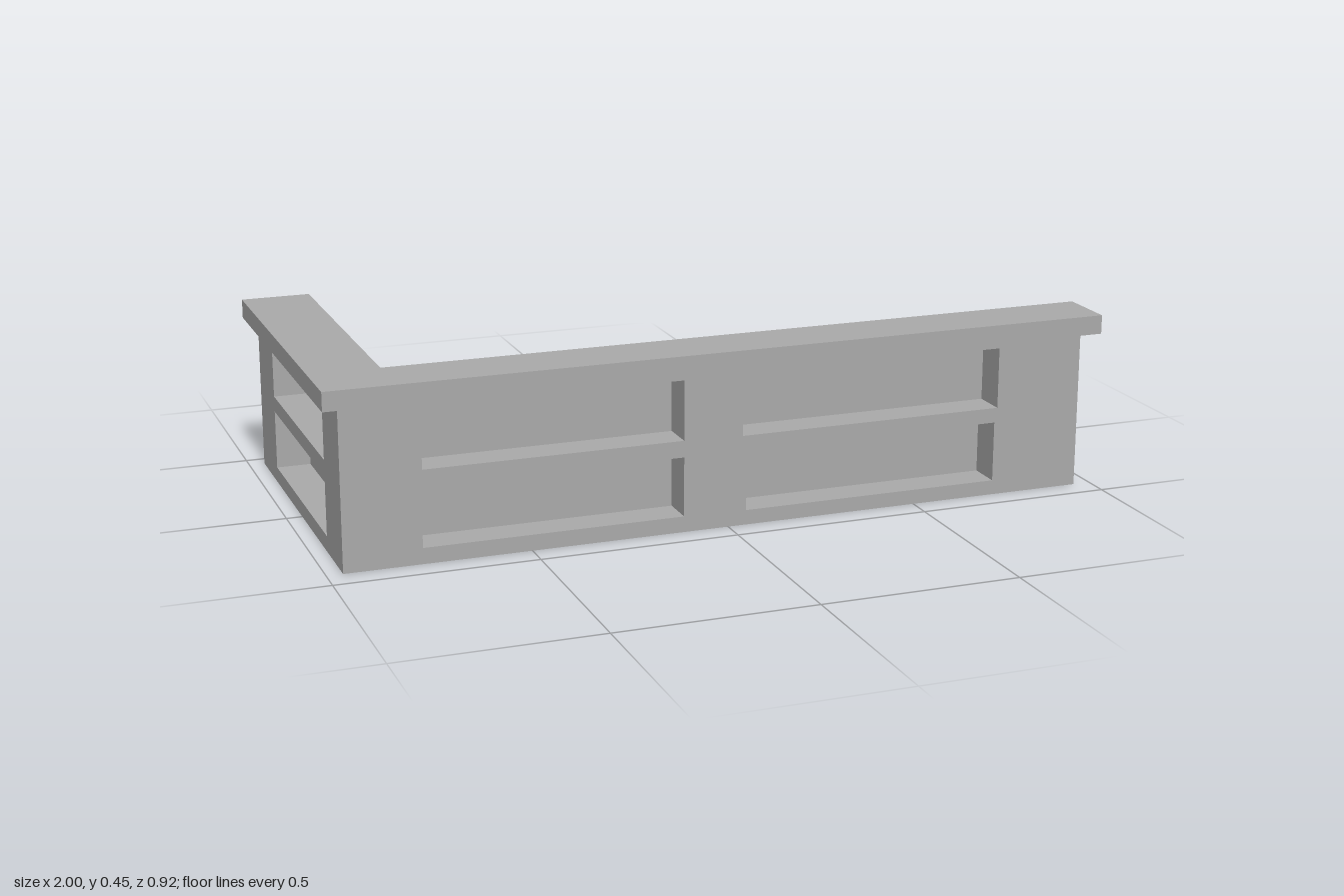
import * as THREE from 'three';

const WALL_HEIGHT = 0.403;
const RECESS_DEPTH = 0.087;

// Closed outline from a list of points
function outline(points, Type = THREE.Shape) {
  return new Type(points.map(([x, y]) => new THREE.Vector2(x, y)));
}

function rect(x0, x1, y0, y1, Type) {
  return outline([[x0, y0], [x1, y0], [x1, y1], [x0, y1]], Type);
}

// Wall with its outer face at local z = 0, recessed panels cut into it
function makeWall(name, u0, u1, thickness, recesses, material) {
  const wall = new THREE.Group();
  wall.name = name;

  const face = rect(u0, u1, 0, WALL_HEIGHT);
  face.holes = recesses.map((r) => rect(...r, THREE.Path));
  const frame = new THREE.Mesh(
    new THREE.ExtrudeGeometry(face, { depth: RECESS_DEPTH, bevelEnabled: false }), material);
  frame.name = name + 'Frame';
  frame.position.z = -RECESS_DEPTH;

  // Thin solid backing closes the recesses
  const backDepth = thickness - RECESS_DEPTH;
  const back = new THREE.Mesh(
    new THREE.BoxGeometry(u1 - u0, WALL_HEIGHT, backDepth), material);
  back.name = name + 'Backing';
  back.position.set((u0 + u1) / 2, WALL_HEIGHT / 2, -RECESS_DEPTH - backDepth / 2);

  wall.add(frame, back);
  return wall;
}

export function createModel() {
  const model = new THREE.Group();
  model.name = 'cornerCounter';
  const grey = new THREE.MeshStandardMaterial({ color: 0xaaaaaa });
  grey.name = 'grey';

  // Long front wall with four recessed panels
  const front = makeWall('frontWall', -0.96, 0.955, 0.098, [
    [-0.765, -0.115, 0.232, 0.383],
    [-0.768, -0.115, 0.04, 0.19],
    [0.037, 0.727, 0.228, 0.383],
    [0.047, 0.72, 0.037, 0.19],
  ], grey);
  front.position.z = 0.435;

  // Short side wall with two recessed panels facing -x
  const side = makeWall('sideWall', -0.46, 0.337, 0.105, [
    [-0.29, 0.275, 0.23, 0.383],
    [-0.29, 0.275, 0.04, 0.19],
  ], grey);
  side.rotation.y = -Math.PI / 2;
  side.position.x = -0.96;

  // L-shaped countertop, drawn as (x, -z) and laid flat
  const topShape = outline([
    [-1, -0.46], [1, -0.46], [1, -0.307], [-0.825, -0.307], [-0.825, 0.453], [-1, 0.453],
  ]);
  const top = new THREE.Mesh(
    new THREE.ExtrudeGeometry(topShape, { depth: 0.048, bevelEnabled: false }), grey);
  top.name = 'countertop';
  top.rotation.x = -Math.PI / 2;
  top.position.y = 0.402;

  model.add(front, side, top);
  return model;
}
